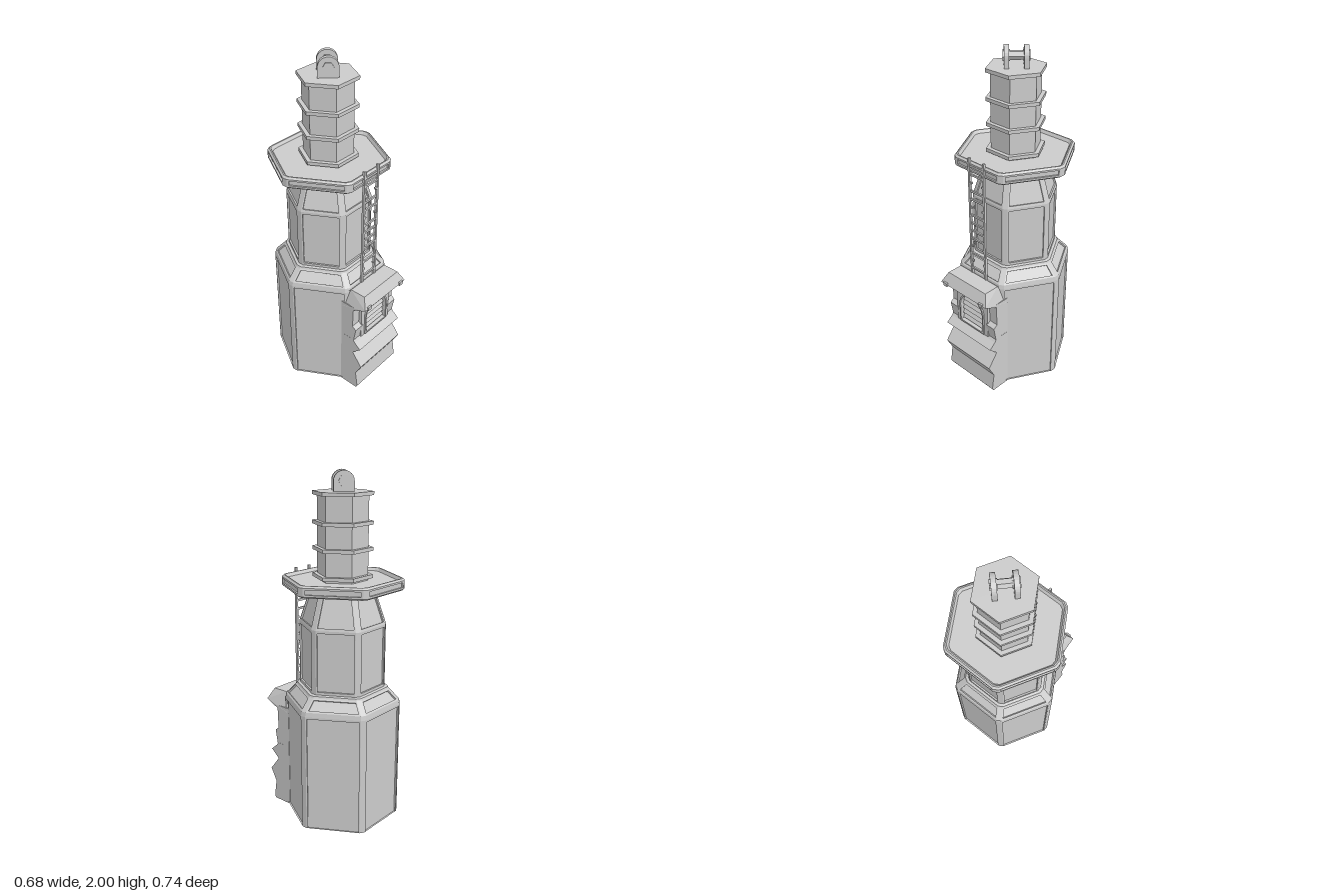
import * as THREE from 'three';

const material = new THREE.MeshStandardMaterial({ color: 0xcccccc, flatShading: true, side: THREE.DoubleSide });
const CZ = -0.068; // tower axis

function mesh(parent, name, geo, x = 0, y = 0, z = 0) {
  const m = new THREE.Mesh(geo, material);
  m.name = name;
  m.position.set(x, y, z);
  parent.add(m);
  return m;
}
const box = (w, h, d) => new THREE.BoxGeometry(w, h, d);

// Flat-faced geometry collected quad by quad
class Faces {
  constructor() { this.p = []; }
  tri(a, b, c) {
    if (new THREE.Triangle(a, b, c).getArea() > 1e-9) for (const v of [a, b, c]) this.p.push(v.x, v.y, v.z);
  }
  quad(a, b, c, d) { this.tri(a, b, c); this.tri(a, c, d); }
  build() {
    const g = new THREE.BufferGeometry();
    g.setAttribute('position', new THREE.Float32BufferAttribute(this.p, 3));
    g.computeVertexNormals();
    return g;
  }
}

// Two points of hexagon side k, shortened by s at both ends to blunt the corners
function side(k, R, y, s) {
  const at = (i) => new THREE.Vector3(R * Math.cos(i * Math.PI / 3), y, -R * Math.sin(i * Math.PI / 3));
  const a = at(k), b = at(k + 1), t = R > 0 ? s / R : 0;
  return [a.clone().lerp(b, t), b.clone().lerp(a, t)];
}

// Plain hexagonal loft through [radius, height] pairs
function loft(profile, s = 0.017) {
  const f = new Faces();
  const rings = profile.map(([R, y]) => [0, 1, 2, 3, 4, 5].flatMap((k) => side(k, R, y, s)));
  for (let i = 0; i + 1 < rings.length; i++)
    for (let j = 0; j < 12; j++) {
      const n = (j + 1) % 12;
      f.quad(rings[i][j], rings[i][n], rings[i + 1][n], rings[i + 1][j]);
    }
  return f.build();
}

// Hexagonal storey with a recessed panel in every side
function panelled([R0, y0], [R1, y1], { edge = 0.008, bottom = 0.02, top = 0.02, depth = 0.01, s = 0.017 } = {}) {
  const f = new Faces();
  for (let k = 0; k < 6; k++) {
    const [a, b] = side(k, R0, y0, s), [d, c] = side(k, R1, y1, s);
    const outer = [a, b, c, d];
    const h = a.distanceTo(d), u = edge / a.distanceTo(b);
    const point = (x, y) => a.clone().lerp(b, x).lerp(d.clone().lerp(c, x), y);
    const inner = [point(u, bottom / h), point(1 - u, bottom / h), point(1 - u, 1 - top / h), point(u, 1 - top / h)];
    const normal = new THREE.Triangle(a, b, c).getNormal(new THREE.Vector3());
    const deep = inner.map((v) => v.clone().addScaledVector(normal, -depth));
    for (let i = 0; i < 4; i++) {
      const n = (i + 1) % 4;
      f.quad(outer[i], outer[n], inner[n], inner[i]);
      f.quad(inner[i], inner[n], deep[n], deep[i]);
    }
    f.quad(...deep);
    f.quad(b, side(k + 1, R0, y0, s)[0], side(k + 1, R1, y1, s)[0], c); // blunt corner
  }
  return f.build();
}

// Extrudes a [z, y] outline across x
function across(points, width) {
  const shape = new THREE.Shape(points.map(([z, y]) => new THREE.Vector2(z, y)));
  return new THREE.ExtrudeGeometry(shape, { depth: width, bevelEnabled: false })
    .translate(0, 0, -width / 2).rotateY(-Math.PI / 2);
}

// Upright arch outline, round at the top
function arch(path, half, y0, spring) {
  path.moveTo(-half, y0);
  path.lineTo(half, y0);
  path.lineTo(half, spring);
  path.absarc(0, spring, half, 0, Math.PI, false);
  path.lineTo(-half, y0);
  return path;
}

function buildTower(parent) {
  const tower = new THREE.Group();
  tower.name = 'tower';
  tower.position.z = CZ;
  parent.add(tower);

  mesh(tower, 'bodyFloor', loft([[0, 0.01], [0.343, 0.01]]));
  mesh(tower, 'body', panelled([0.343, 0.01], [0.343, 0.7], { bottom: 0, top: 0.012 }));
  mesh(tower, 'bodyBand', loft([[0.343, 0.7], [0.338, 0.725]]));
  mesh(tower, 'shoulder', panelled([0.338, 0.725], [0.275, 0.79], { bottom: 0.012, top: 0.012, edge: 0.01 }));
  mesh(tower, 'shoulderLedge', loft([[0.275, 0.79], [0.27, 0.8], [0.25, 0.805]]));
  mesh(tower, 'column', panelled([0.253, 0.8], [0.253, 1.17], { top: 0.015 }));
  mesh(tower, 'taperedNeck', panelled([0.253, 1.17], [0.18, 1.385], { bottom: 0.015 }));

  // Gallery with raised rim
  mesh(tower, 'galleryUnderside', loft([[0, 1.39], [0.315, 1.39], [0.325, 1.365], [0.34, 1.365], [0.35, 1.373]]));
  mesh(tower, 'galleryEdge', panelled([0.35, 1.373], [0.35, 1.42], { bottom: 0.01, top: 0.01, edge: 0.012 }));
  mesh(tower, 'galleryTop', loft([[0.35, 1.42], [0.338, 1.43], [0.33, 1.43], [0.318, 1.412], [0, 1.412]]));

  // Upper shaft with collars
  mesh(tower, 'upperShaft', loft([[0.142, 1.41], [0.142, 1.88]], 0));
  for (const y of [1.425, 1.575, 1.715, 1.87])
    mesh(tower, 'collar', loft([[0, y], [0.168, y], [0.168, y + 0.02], [0, y + 0.02]], 0));

  // Lifting lug set diagonally on the roof
  const lug = new THREE.Group();
  lug.name = 'liftingLug';
  lug.position.y = 1.89;
  lug.rotation.y = Math.PI / 4;
  tower.add(lug);
  const plate = new THREE.ExtrudeGeometry(arch(new THREE.Shape(), 0.056, 0, 0.054), { depth: 0.026, bevelEnabled: false, curveSegments: 6 })
    .translate(0, 0, -0.013).rotateY(Math.PI / 2);
  const pin = (r, l) => new THREE.CylinderGeometry(r, r, l, 6).rotateZ(Math.PI / 2);
  for (const x of [-0.052, 0.052]) {
    mesh(lug, 'lugPlate', plate, x);
    mesh(lug, 'pinNut', pin(0.03, 0.038), x, 0.056);
  }
  mesh(lug, 'pin', pin(0.025, 0.1), 0, 0.056);
}

function buildLadder(parent) {
  const ladder = new THREE.Group();
  ladder.name = 'ladder';
  ladder.position.z = 0.232;
  parent.add(ladder);
  for (const x of [-0.055, 0.055]) mesh(ladder, 'rail', box(0.013, 0.74, 0.014), x, 1.08);
  const broken = [1, 3, 8, 11]; // only stubs remain of these rungs
  for (let i = 0; i < 14; i++) {
    const y = 0.755 + i * 0.05;
    if (broken.includes(i)) for (const x of [-0.044, 0.044]) mesh(ladder, 'rungStub', box(0.015, 0.012, 0.01), x, y);
    else mesh(ladder, 'rung', box(0.11, 0.012, 0.01), 0, y);
  }
}

function buildPorch(parent) {
  const porch = new THREE.Group();
  porch.name = 'porch';
  parent.add(porch);

  // Jagged stone base
  mesh(porch, 'base', across([[0.19, 0], [0.31, 0], [0.32, 0.015], [0.305, 0.12], [0.345, 0.195], [0.28, 0.28],
    [0.335, 0.33], [0.295, 0.365], [0.28, 0.385], [0.19, 0.385]], 0.37));

  // Jambs beside the door
  for (const s of [-1, 1])
    mesh(porch, 'jamb', across([[0.19, 0.38], [0.285, 0.38], [0.3, 0.465], [0.275, 0.485], [0.28, 0.63], [0.19, 0.63]], 0.065), s * 0.152);

  // Hood, narrower at the top
  const hood = across([[0.19, 0.6], [0.275, 0.61], [0.365, 0.652], [0.332, 0.718], [0.235, 0.718], [0.19, 0.68]], 0.37);
  const p = hood.attributes.position;
  for (let i = 0; i < p.count; i++) if (p.getY(i) > 0.7) p.setX(i, p.getX(i) * 0.82);
  hood.computeVertexNormals();
  mesh(porch, 'hood', hood);
  for (const x of [-0.145, 0.145]) mesh(porch, 'hoodTip', box(0.03, 0.022, 0.03), x, 0.653, 0.355);

  // Door plate with arched louvred opening
  const plate = new THREE.Shape([[-0.128, 0.375], [0.128, 0.375], [0.128, 0.665], [-0.128, 0.665]].map((v) => new THREE.Vector2(...v)));
  plate.holes.push(arch(new THREE.Path(), 0.092, 0.39, 0.508));
  mesh(porch, 'doorPlate', new THREE.ExtrudeGeometry(plate, { depth: 0.05, bevelEnabled: false, curveSegments: 8 }), 0, 0, 0.245);
  const trim = arch(new THREE.Shape(), 0.1, 0.382, 0.508);
  trim.holes.push(arch(new THREE.Path(), 0.09, 0.392, 0.508));
  mesh(porch, 'doorTrim', new THREE.ExtrudeGeometry(trim, { depth: 0.012, bevelEnabled: false, curveSegments: 8 }), 0, 0, 0.292);
  mesh(porch, 'doorBack', box(0.2, 0.24, 0.02), 0, 0.5, 0.25);
  for (let i = 0; i < 6; i++) {
    const y = 0.41 + i * 0.034;
    const half = y < 0.508 ? 0.09 : Math.sqrt(0.09 ** 2 - (y - 0.508) ** 2);
    mesh(porch, 'louvre', box(half * 2, 0.03, 0.008), 0, y, 0.275).rotation.x = -0.5;
  }
}

export function createModel() {
  const model = new THREE.Group();
  model.name = 'tower';
  buildTower(model);
  buildLadder(model);
  buildPorch(model);
  return model;
}
